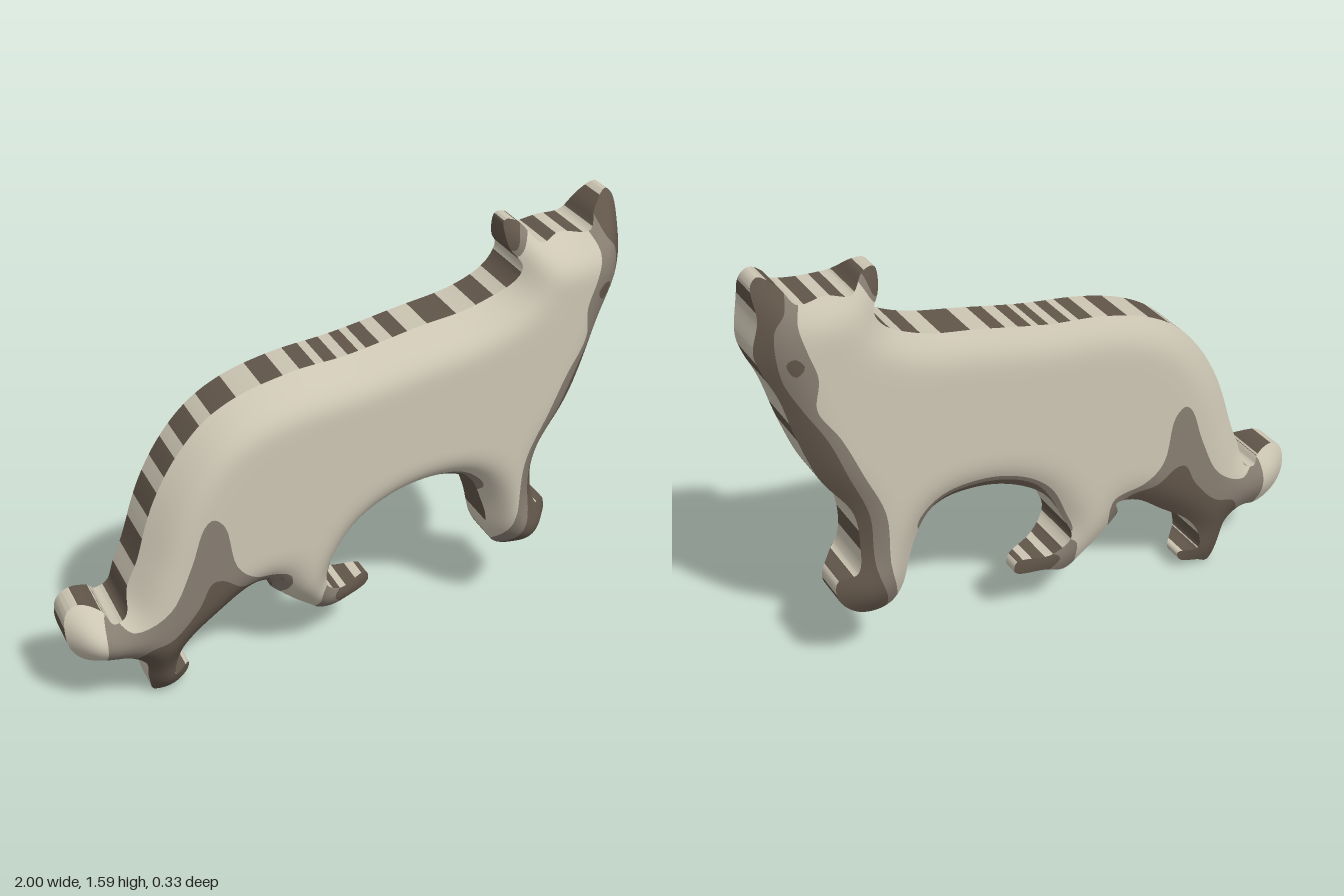
import * as THREE from 'three';

const STEP = 0.0125, NX = 170, NY = 140, X0 = -1.0625, Y0 = -0.06;

// outline of the standing animal: tail, back, ears, face, chest, legs
const OUTLINE = [
  -1, .32, -.995, .42, -.95, .45, -.88, .43, -.855, .4, -.81, .42, -.79, .5, -.75, .6, -.71, .73,
  -.67, .83, -.6, .95, -.5, 1.06, -.38, 1.13, -.2, 1.18, 0, 1.205, .25, 1.255, .45, 1.295,
  .58, 1.36, .615, 1.42, .588, 1.47, .588, 1.55, .63, 1.545, .68, 1.49, .76, 1.505, .86, 1.505,
  .9, 1.56, .96, 1.605, .985, 1.58, .98, 1.48, 1, 1.37, .98, 1.3, .935, 1.2, .89, 1.05,
  .82, .87, .72, .72, .7, .6, .715, .48, .78, .45, .78, .38, .71, .31, .6, .305, .555, .36,
  .52, .5, .44, .65, .28, .67, .15, .64, .02, .56, -.06, .43, -.09, .345, -.02, .285, .105, .28,
  .11, .235, 0, .225, -.08, .2, -.14, .25, -.22, .31, -.285, .37, -.26, .44, -.36, .41,
  -.47, .33, -.58, .25, -.63, .18, -.64, .1, -.57, .085, -.58, .05, -.65, .035, -.7, .01,
  -.73, .1, -.75, .2, -.82, .235, -.89, .215, -.96, .25,
];

// mid-tone markings: chest band, hind leg, belly edge, middle foot, ear, eye ring
const MID = [
  [.84, 1.58, .87, 1.45, .85, 1.36, .82, 1.26, .83, 1.15, .76, 1.03, .69, .87, .62, .7, .61, .5, .58, .25, .9, .25, .85, .6, 1.1, 1.1, 1.1, 1.7],
  [-.87, .43, -.8, .375, -.68, .44, -.6, .6, -.55, .74, -.52, .765, -.48, .73, -.44, .56, -.36, .49, -.24, .455, -.3, .2, -.6, -.1, -.85, .1, -.89, .3],
  [-.09, .37, -.06, .47, 0, .585, .1, .665, .25, .71, .42, .69, .5, .6, .4, .5, .1, .45],
  [-.1, .33, -.11, .27, -.1, .15, .15, .15, .15, .35],
  [.56, 1.6, .57, 1.45, .6, 1.44, .64, 1.5, .68, 1.6],
  [.84, 1.3, .88, 1.36, .93, 1.34, .9, 1.25],
];

// dark markings: face and chest, hind leg, belly edge, foot tip, ear, eye
const DARK = [
  [.9, 1.62, .9, 1.5, .94, 1.44, .93, 1.28, .88, 1.17, .8, 1.03, .74, .88, .67, .7, .66, .5, .62, .28, .9, .25, .85, .6, 1.1, 1.1, 1.1, 1.7],
  [-.76, .29, -.67, .33, -.58, .43, -.53, .52, -.49, .52, -.42, .47, -.3, .435, -.3, .2, -.6, -.1, -.8, .1],
  [-.04, .44, .03, .59, .13, .66, .27, .69, .42, .67, .46, .6, .3, .5, .1, .45],
  [-.05, .27, .02, .3, .15, .33, .15, .18, .02, .2],
  [.56, 1.6, .565, 1.48, .6, 1.46, .63, 1.53, .66, 1.6],
  [.86, 1.31, .89, 1.345, .915, 1.33, .89, 1.28],
];

function smoothLoop(flat, count) {
  const pts = [];
  for (let i = 0; i < flat.length; i += 2) pts.push(new THREE.Vector3(flat[i], flat[i + 1], 0));
  return new THREE.CatmullRomCurve3(pts, true, 'centripetal').getPoints(count).slice(0, -1);
}

// signed distance to a loop, positive inside
function inside(x, y, loop) {
  let best = Infinity, within = false;
  for (let i = 0, j = loop.length - 1; i < loop.length; j = i++) {
    const a = loop[i], b = loop[j], ex = b.x - a.x, ey = b.y - a.y, px = x - a.x, py = y - a.y;
    const t = Math.min(1, Math.max(0, (px * ex + py * ey) / (ex * ex + ey * ey || 1)));
    best = Math.min(best, Math.hypot(px - ex * t, py - ey * t));
    if ((a.y > y) !== (b.y > y) && x < a.x + (ex * (y - a.y)) / ey) within = !within;
  }
  return within ? best : -best;
}

// box blur of the filled outline gives the rounded thickness
function blur(src, radius) {
  const pass = (from, sx, sy) => from.map((_, k) => {
    const i = k % NX, j = Math.floor(k / NX);
    let sum = 0;
    for (let r = -radius; r <= radius; r++) {
      const u = i + r * sx, v = j + r * sy;
      if (u >= 0 && u < NX && v >= 0 && v < NY) sum += from[v * NX + u];
    }
    return sum / (2 * radius + 1);
  });
  return pass(pass(src, 1, 0), 0, 1);
}

// keep the part of a polygon where sign * field > 0; points are [x, y, fill, outline, mid, dark]
function clip(poly, field, sign) {
  const out = [];
  poly.forEach((a, i) => {
    const b = poly[(i + 1) % poly.length], fa = a[field] * sign, fb = b[field] * sign;
    if (fa >= 0) out.push(a);
    if ((fa > 0 && fb < 0) || (fa < 0 && fb > 0)) {
      const t = fa / (fa - fb), p = a.map((v, k) => v + (b[k] - v) * t);
      p[field] = 0;
      out.push(p);
    }
  });
  return out.length > 2 ? out : [];
}

// indexed surface with one triangle list per colour
class Surface {
  constructor() { this.pos = []; this.lists = [[], [], []]; this.keys = new Map(); }
  vertex(x, y, z) {
    const key = `${Math.round(x * 1e5)},${Math.round(y * 1e5)},${Math.round(z * 1e5)}`;
    if (!this.keys.has(key)) { this.keys.set(key, this.pos.length / 3); this.pos.push(x, y, z); }
    return this.keys.get(key);
  }
  polygon(points, colour, flip) {
    const v = points.map((p) => this.vertex(...p));
    for (let i = 2; i < v.length; i++) {
      if (v[0] === v[i - 1] || v[i - 1] === v[i] || v[0] === v[i]) continue;
      this.lists[colour].push(v[0], ...(flip ? [v[i], v[i - 1]] : [v[i - 1], v[i]]));
    }
  }
  mesh(name, materials) {
    const g = new THREE.BufferGeometry();
    g.setAttribute('position', new THREE.Float32BufferAttribute(this.pos, 3));
    g.setIndex(this.lists.flat());
    let start = 0;
    this.lists.forEach((l, m) => { g.addGroup(start, l.length, m); start += l.length; });
    g.computeVertexNormals();
    const mesh = new THREE.Mesh(g, materials);
    mesh.name = name;
    return mesh;
  }
}

// broken pale patches along the narrow rim
function rimColour(x, y, nx, ny) {
  if (nx > 0.6) return Math.sin(27 * y + 1) > -0.6 ? 0 : 2;
  if (ny < -0.5) return Math.sin(40 * x) > 0.7 ? 0 : 2;
  return Math.sin(58 * x + 3 * Math.sin(9 * x) + 8 * y) > 0.2 ? 0 : 2;
}

export function createModel() {
  const group = new THREE.Group();
  group.name = 'standingAnimal';
  const material = (name, color) => {
    const m = new THREE.MeshStandardMaterial({ color });
    m.name = name;
    return m;
  };
  const materials = [material('cream', 0xcdc6b4), material('greyBrown', 0x877d71), material('darkBrown', 0x62564a)];

  // fields on a grid
  const outline = smoothLoop(OUTLINE, 420);
  const mids = MID.map((m) => smoothLoop(m, 70)), darks = DARK.map((m) => smoothLoop(m, 70));
  const nodes = [];
  for (let j = 0; j < NY; j++) for (let i = 0; i < NX; i++) {
    const x = X0 + i * STEP, y = Y0 + j * STEP, d = inside(x, y, outline);
    const most = (loops) => (d < -0.05 ? -1 : Math.max(...loops.map((l) => inside(x, y, l))));
    nodes.push([x, y, 0, d, most(mids), most(darks)]);
  }
  let fill = nodes.map((n) => Math.min(1, Math.max(0, n[3] / STEP + 0.5)));
  for (let k = 0; k < 3; k++) fill = blur(fill, 4);
  nodes.forEach((n, k) => { n[2] = fill[k]; });

  // flanks bulge from a common plane; the rim joins them
  const front = new Surface(), back = new Surface(), rim = new Surface();
  const frontPoint = (p) => [p[0], p[1], -0.07 + 0.235 * p[2]];
  const backPoint = (p) => [p[0], p[1], -0.07 - 0.095 * p[2]];
  const addTriangle = (tri) => {
    const body = clip(tri, 3, 1);
    if (!body.length) return;
    const plain = clip(body, 5, -1);
    [clip(plain, 4, -1), clip(plain, 4, 1), clip(body, 5, 1)].forEach((poly, colour) => {
      front.polygon(poly.map(frontPoint), colour, false);
      back.polygon(poly.map(backPoint), colour, true);
    });
    body.forEach((a, i) => {
      const b = body[(i + 1) % body.length];
      if (a[3] !== 0 || b[3] !== 0) return;
      const dx = b[0] - a[0], dy = b[1] - a[1], len = Math.hypot(dx, dy) || 1;
      const colour = rimColour((a[0] + b[0]) / 2, (a[1] + b[1]) / 2, dy / len, -dx / len);
      rim.polygon([backPoint(a), backPoint(b), frontPoint(b), frontPoint(a)], colour, false);
    });
  };
  for (let j = 0; j < NY - 1; j++) for (let i = 0; i < NX - 1; i++) {
    const k = j * NX + i, a = nodes[k], b = nodes[k + 1], c = nodes[k + NX + 1], d = nodes[k + NX];
    addTriangle([a, b, c]);
    addTriangle([a, c, d]);
  }
  group.add(front.mesh('frontFlank', materials), back.mesh('backFlank', materials), rim.mesh('rim', materials));

  // stand on the ground, centred
  const box = new THREE.Box3().setFromObject(group), mid = box.getCenter(new THREE.Vector3());
  group.position.set(-mid.x, -box.min.y, -mid.z);
  return group;
}
